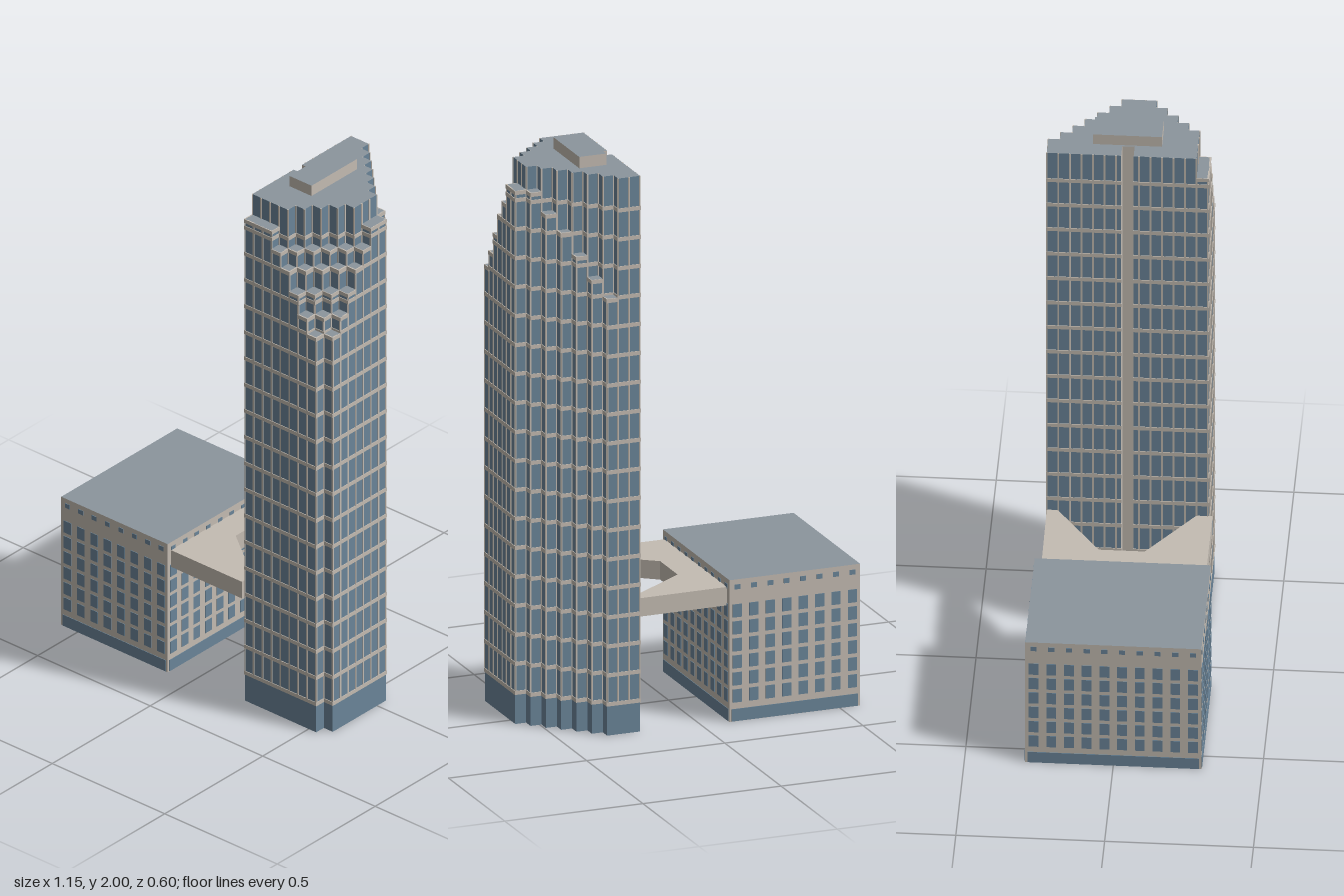
import * as THREE from 'three';
import { mergeGeometries } from 'three/addons/utils/BufferGeometryUtils.js';

const material = (name, color) => Object.assign(new THREE.MeshStandardMaterial({ color }), { name });

// Tower plan grid: 9 columns in x, 14 rows in z, plus extra lines for the slot
const X0 = 0.216, Z0 = -0.277, PX = 0.357 / 9, PZ = 0.542 / 14, TOP = 1.96;
const STEPS = [1.81, 1.75, 1.675, 1.6, 1.54];
const SLOT = { x: 0.27, z0: -0.027, z1: 0.015 };
const mainX = Array.from({ length: 10 }, (_, i) => X0 + i * PX);
const mainZ = Array.from({ length: 15 }, (_, i) => Z0 + i * PZ);
const gridX = [...mainX, SLOT.x].sort((a, b) => a - b);
const gridZ = [...mainZ, SLOT.z0, SLOT.z1].sort((a, b) => a - b);

const inSlot = (x, z) => x > X0 && x < SLOT.x && z > SLOT.z0 && z < SLOT.z1;

// Height of the tower above a plan point
function towerHeight(x, z) {
  const c = Math.floor((x - X0) / PX), r = Math.floor((z - Z0) / PZ);
  if (c < 0 || c > 8 || r < 0 || r > 13 || inSlot(x, z)) return 0;
  if (c > r + 2 || c + r > 20) return 0;
  if (c + r >= 16) return STEPS[c + r - 16];          // stepped front corner
  if (c === 8 || r === 13) return 1.88;               // outer ledges
  if (c === r + 2) return [1.54, 1.6, 1.675, 1.75, 1.81, 1.88][r]; // saw-tooth back
  return TOP;
}

// Upright box or plane turned to face angle a about y
const slab = (x, y, z, w, h, t, a) => new THREE.BoxGeometry(w, h, t).rotateY(a).translate(x, y, z);
const panel = (x, y, z, w, h, a) => new THREE.PlaneGeometry(w, h).rotateY(a).translate(x, y, z);
const flat = (x, y, z, w, d, up) =>
  new THREE.PlaneGeometry(w, d).rotateX(up ? -Math.PI / 2 : Math.PI / 2).translate(x, y, z);

function buildTower(add, mats) {
  const glass = [], slotWalls = [], roofs = [], floor = [], bands = [], mullions = [];

  // One exposed wall with its floor bands, coping and mullions
  function wall(mx, mz, w, low, high, a, slotSide, ends) {
    const dx = Math.cos(a), dz = -Math.sin(a);
    (slotSide ? slotWalls : glass).push(panel(mx, (low + high) / 2, mz, w, high - low, a));
    if (slotSide) return;
    for (let k = 0; k < 18; k++) {
      const y = 0.11 + k * 0.1022;
      if (y > low && y < high) bands.push(slab(mx, y, mz, w + 0.004, 0.014, 0.005, a));
    }
    if (high < TOP) bands.push(slab(mx, high - 0.007, mz, w + 0.004, 0.014, 0.005, a));
    const base = Math.max(low, 0.105);
    ends.forEach((draw, i) => {
      if (!draw) return;
      const s = (i ? 1 : -1) * (w / 2 - 0.0015);
      mullions.push(slab(mx + dx * s, (base + high) / 2, mz + dz * s, 0.0035, high - base, 0.004, a));
    });
  }

  for (let i = 0; i + 1 < gridX.length; i++) {
    for (let j = 0; j + 1 < gridZ.length; j++) {
      const [x0, x1, z0, z1] = [gridX[i], gridX[i + 1], gridZ[j], gridZ[j + 1]];
      const x = (x0 + x1) / 2, z = (z0 + z1) / 2, w = x1 - x0, d = z1 - z0;
      const h = towerHeight(x, z);
      if (!h) continue;
      roofs.push(flat(x, h, z, w, d, true));
      floor.push(flat(x, 0, z, w, d, false));
      for (let k = 0; k < 4; k++) {
        const a = k * Math.PI / 2, nx = Math.round(Math.sin(a)), nz = Math.round(Math.cos(a));
        const ex = x + nx * w / 2, ez = z + nz * d / 2;
        const px = ex + nx * 0.001, pz = ez + nz * 0.001;
        const low = towerHeight(px, pz);
        if (low >= h) continue;
        const ends = nx ? [mainZ.includes(z0), mainZ.includes(z1)] : [mainX.includes(x0), mainX.includes(x1)];
        if (nx > 0 || nz < 0) ends.reverse();
        wall(ex, ez, nx ? d : w, low, h, a, inSlot(px, pz), ends);
      }
    }
  }
  add('towerGlass', mergeGeometries(glass), mats.glass);
  add('towerSlotWalls', mergeGeometries(slotWalls), mats.stone);
  add('towerRoofs', mergeGeometries(roofs), mats.roof);
  add('towerUnderside', mergeGeometries(floor), mats.stone);
  add('towerFloorBands', mergeGeometries(bands), mats.stone);
  add('towerMullions', mergeGeometries(mullions), mats.stone);

  // Rooftop plant room
  add('plantRoom', new THREE.BoxGeometry(0.098, 0.04, 0.231).translate(0.325, 1.98, -0.0095),
    [mats.stone, mats.stone, mats.roof, mats.stone, mats.stone, mats.stone]);
}

function buildAnnex(add, mats) {
  const W = 0.473, D = 0.592, H = 0.5, cx = -0.3365;
  add('annexBody', new THREE.BoxGeometry(W, H, D).translate(cx, H / 2, 0),
    [mats.stone, mats.stone, mats.roof, mats.stone, mats.stone, mats.stone]);

  // Windows and ground floor glazing on all four sides
  const panes = [], base = [];
  for (let k = 0; k < 4; k++) {
    const a = k * Math.PI / 2, side = k % 2 === 1;
    const width = side ? D : W, out = (side ? W : D) / 2, count = side ? 10 : 8;
    const place = (u, y, w, h) => slab(cx + Math.sin(a) * out + Math.cos(a) * u, y,
      Math.cos(a) * out - Math.sin(a) * u, w, h, 0.004, a);
    base.push(place(0, 0.0225, width - 0.016, 0.043));
    for (let c = 0; c < count; c++) {
      const u = (c - (count - 1) / 2) * 0.0595;
      for (let r = 0; r < 6; r++) panes.push(place(u, 0.09 + r * 0.06, 0.033, 0.046));
      panes.push(place(u, 0.474, 0.021, 0.017));
    }
  }
  add('annexWindows', mergeGeometries(panes), mats.glass);
  add('annexGroundGlazing', mergeGeometries(base), mats.glass);
}

// Raised walkway with two arms reaching the tower
function buildBridge(add, mats) {
  const outline = [[-0.1, -0.274], [0.216, -0.277], [0.216, -0.24], [0.003, -0.088],
    [0.003, 0.067], [0.216, 0.226], [0.216, 0.28], [-0.1, 0.28]];
  const shape = new THREE.Shape(outline.map(([x, z]) => new THREE.Vector2(x, z)));
  add('bridge', new THREE.ExtrudeGeometry(shape, { depth: 0.065, bevelEnabled: false })
    .rotateX(Math.PI / 2).translate(0, 0.47, 0), mats.stone);
}

export function createModel() {
  const model = new THREE.Group();
  model.name = 'officeComplex';
  const mats = {
    glass: material('blueGlass', 0x6b8599),
    stone: material('paleStone', 0xc4bcb2),
    roof: material('greyRoof', 0x8b959d),
  };
  const add = (name, geometry, mat) => {
    const mesh = new THREE.Mesh(geometry, mat);
    mesh.name = name;
    model.add(mesh);
  };
  buildTower(add, mats);
  buildAnnex(add, mats);
  buildBridge(add, mats);
  return model;
}
